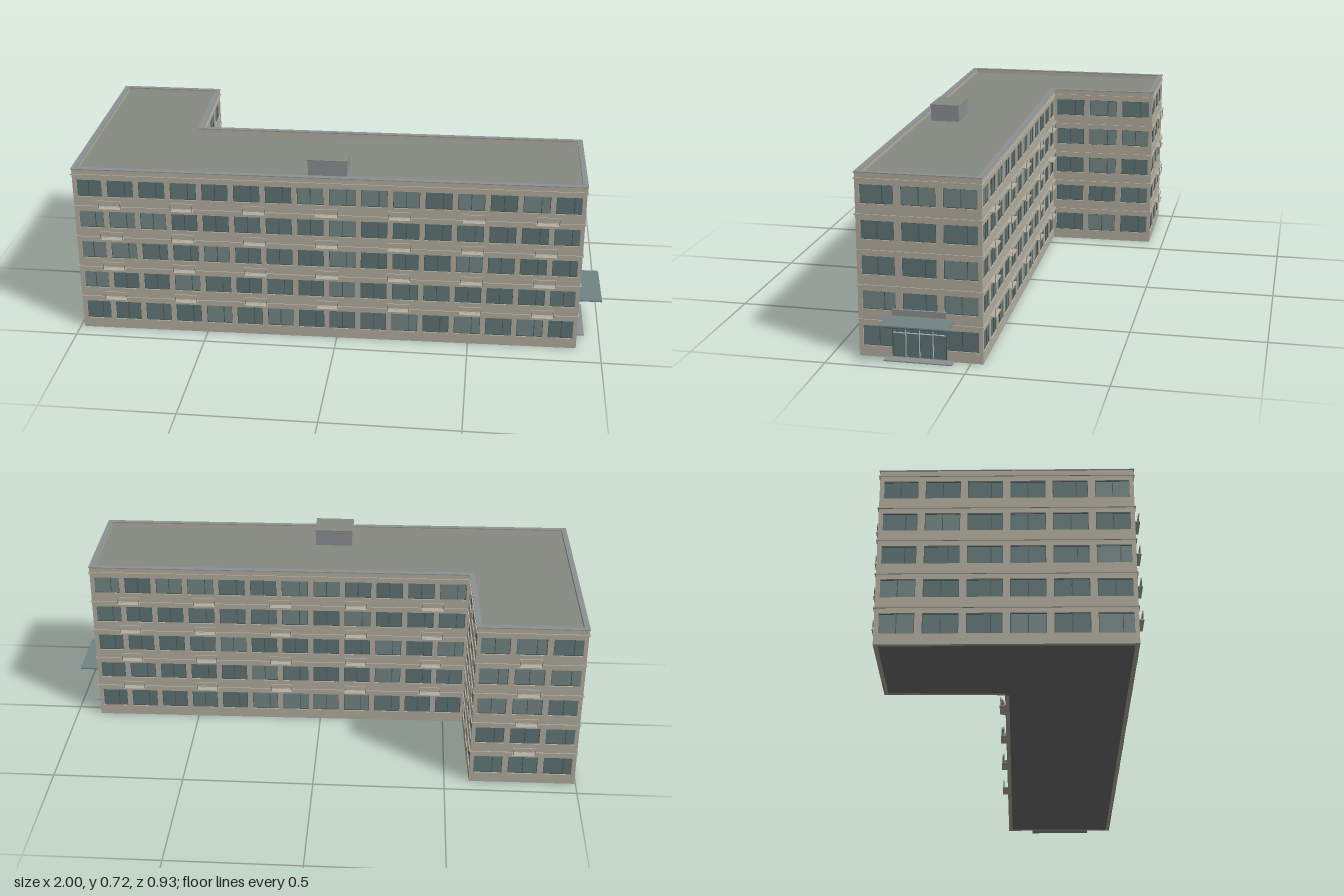
import * as THREE from 'three';

const mat = (color, side = THREE.FrontSide) =>
  new THREE.MeshStandardMaterial({ color, side, flatShading: true });
const WALL = mat(0xb5afa0), ROOF = mat(0x868a82), FRAME = mat(0x4b5a5a), DARK = mat(0x6f7270);
const METAL = mat(0x8c9294), PALE = mat(0xc4cccb), CANOPY = mat(0x728484);
const GLASS = [mat(0x5f7575), mat(0x5f7575), mat(0x657b7b), mat(0x758888)];

// Footprint corners (x, z), running counterclockwise seen from above
const PLAN = [[-0.984, 0.436], [0.909, 0.402], [0.904, -0.043], [-0.58, -0.017], [-0.594, -0.441], [-0.995, -0.437]];
const FLOORS = 5, PITCH = 0.1277, WALL_TOP = 0.645, TOP = 0.67;

let seed = 7;
const rand = () => (seed = (seed * 16807) % 2147483647) / 2147483647;

function add(parent, name, geometry, material, x = 0, y = 0, z = 0) {
  const mesh = new THREE.Mesh(geometry, material);
  mesh.name = name;
  mesh.position.set(x, y, z);
  parent.add(mesh);
  return mesh;
}
const box = (parent, name, w, h, d, material, x, y, z) =>
  add(parent, name, new THREE.BoxGeometry(w, h, d), material, x, y, z);

// Footprint grown outwards by d, with mitred corners, in (x, -z)
function outline(d) {
  const p = PLAN.map(([x, z]) => new THREE.Vector2(x, -z)), n = p.length;
  const normal = (a, b) => new THREE.Vector2(b.y - a.y, a.x - b.x).normalize();
  return p.map((c, i) => {
    const n1 = normal(p[(i + n - 1) % n], c), n2 = normal(c, p[(i + 1) % n]);
    return c.clone().addScaledVector(n1.clone().add(n2), d / (1 + n1.dot(n2)));
  });
}

// Horizontal slab on the footprint, or a ring when an inner offset is given
function slab(parent, name, material, y, height, outer, inner) {
  const shape = new THREE.Shape(outline(outer));
  if (inner !== undefined) shape.holes.push(new THREE.Path(outline(inner)));
  const g = new THREE.ExtrudeGeometry(shape, { depth: height, bevelEnabled: false });
  g.rotateX(-Math.PI / 2);
  return add(parent, name, g, material, 0, y, 0);
}

const rectPath = (x0, y0, x1, y1, Type) => new Type([
  new THREE.Vector2(x0, y0), new THREE.Vector2(x1, y0), new THREE.Vector2(x1, y1), new THREE.Vector2(x0, y1)]);

// Wall in its own frame: x along the wall, z outwards
function makeWall(name, i, count) {
  const [ax, az] = PLAN[i], [bx, bz] = PLAN[(i + 1) % PLAN.length];
  const length = Math.hypot(bx - ax, bz - az), step = length / count, w = step * 0.83;
  const wall = new THREE.Group();
  wall.name = name;
  wall.position.set(ax, 0, az);
  wall.rotation.y = Math.atan2(az - bz, bx - ax);
  const shape = rectPath(0, 0, length, WALL_TOP, THREE.Shape);
  for (let f = 0; f < FLOORS; f++) {
    const y0 = f ? 0.047 + f * PITCH : 0.04, y1 = 0.115 + f * PITCH, h = y1 - y0, y = (y0 + y1) / 2;
    for (let k = 0; k < count; k++) {
      const x = (k + 0.5) * step;
      shape.holes.push(rectPath(x - w / 2, y0, x + w / 2, y1, THREE.Path));
      box(wall, 'windowPane', w, h, 0.004, GLASS[Math.floor(rand() * 4)], x, y, -0.009);
      const off = rand() < 0.5 ? 0 : w * 0.17;
      box(wall, 'windowMullion', 0.0025, h, 0.003, FRAME, x + off, y, -0.006);
      for (const s of [-1, 1]) {
        box(wall, 'windowFrameSide', 0.002, h, 0.003, FRAME, x + s * (w / 2 - 0.001), y, -0.006);
        box(wall, 'windowFrameRail', w, 0.002, 0.003, FRAME, x, y + s * (h / 2 - 0.001), -0.006);
      }
    }
  }
  const panel = new THREE.ExtrudeGeometry(shape, { depth: 0.015, bevelEnabled: false });
  add(wall, 'wallPanel', panel, WALL, 0, 0, -0.015);
  return wall;
}

// Shallow balconies with a plate and a raised front rail
function addBalconies(wall, first, step, count) {
  for (let f = 1; f < FLOORS; f++) {
    for (let k = 0; k < count; k++) {
      const x = first + k * step, y = 0.008 + f * PITCH;
      box(wall, 'balconyPlate', 0.085, 0.003, 0.026, WALL, x, y, 0.013);
      box(wall, 'balconyRail', 0.085, 0.01, 0.004, WALL, x, y + 0.029, 0.022);
      for (const s of [-1, 1])
        box(wall, 'balconyPost', 0.0015, 0.026, 0.0015, FRAME, x + s * 0.041, y + 0.013, 0.022);
    }
  }
}

// Glazed entrance with canopy, fascia and step
function addEntrance(wall) {
  const e = new THREE.Group();
  e.name = 'entrance';
  e.position.x = 0.2195;
  wall.add(e);
  box(e, 'entranceGlass', 0.195, 0.137, 0.006, GLASS[0], 0, 0.0765, 0.001);
  for (const x of [-0.049, 0, 0.049]) box(e, 'entranceMullion', 0.003, 0.13, 0.003, PALE, x, 0.076, 0.005);
  for (const x of [-0.096, 0.096]) box(e, 'entranceJamb', 0.003, 0.137, 0.004, FRAME, x, 0.0765, 0.004);
  box(e, 'entranceTransom', 0.192, 0.003, 0.003, PALE, 0, 0.098, 0.005);
  for (const x of [-0.006, 0.006]) box(e, 'doorHandle', 0.002, 0.026, 0.003, FRAME, x, 0.055, 0.007);
  box(e, 'entranceFascia', 0.192, 0.023, 0.008, METAL, 0, 0.172, 0.003);
  box(e, 'canopy', 0.247, 0.005, 0.094, CANOPY, 0.002, 0.152, 0.047);
  for (let k = 0; k < 6; k++)
    box(e, 'canopyRib', 0.21, 0.005, 0.004, FRAME, 0, 0.147, 0.01 + k * 0.015);
  box(e, 'entranceStep', 0.245, 0.004, 0.036, METAL, 0, 0.002, 0.018);
}

export function createModel() {
  const model = new THREE.Group();
  model.name = 'officeBuilding';

  // Walls: name and number of windows per floor
  const walls = [['frontWall', 16], ['entranceWall', 3], ['backWall', 12],
    ['wingInnerWall', 3], ['wingEndWall', 3], ['sideWall', 6]]
    .map(([name, count], i) => makeWall(name, i, count));
  model.add(...walls);
  addBalconies(walls[0], 0.139, 0.27, 7);
  addBalconies(walls[2], 0.149, 0.299, 5);
  addBalconies(walls[4], 0.2, 0, 1);
  addEntrance(walls[1]);

  // Floor, ledges between storeys, roof and parapet
  slab(model, 'groundSlab', DARK, 0, 0.003, -0.001);
  for (let f = 1; f <= FLOORS; f++)
    slab(model, 'storeyLedge', WALL, 0.006 + f * PITCH, 0.004, 0.004, -0.01);
  slab(model, 'roof', ROOF, WALL_TOP, 0.006, -0.01);
  slab(model, 'parapet', WALL, WALL_TOP, TOP - WALL_TOP - 0.003, 0, -0.015);
  slab(model, 'parapetCoping', METAL, TOP - 0.003, 0.003, 0.003, -0.017);

  // Rooftop hut
  box(model, 'roofHut', 0.145, 0.065, 0.113, METAL, -0.038, 0.681, 0.312);
  box(model, 'roofHutCap', 0.152, 0.004, 0.12, ROOF, -0.038, 0.715, 0.312);
  return model;
}
